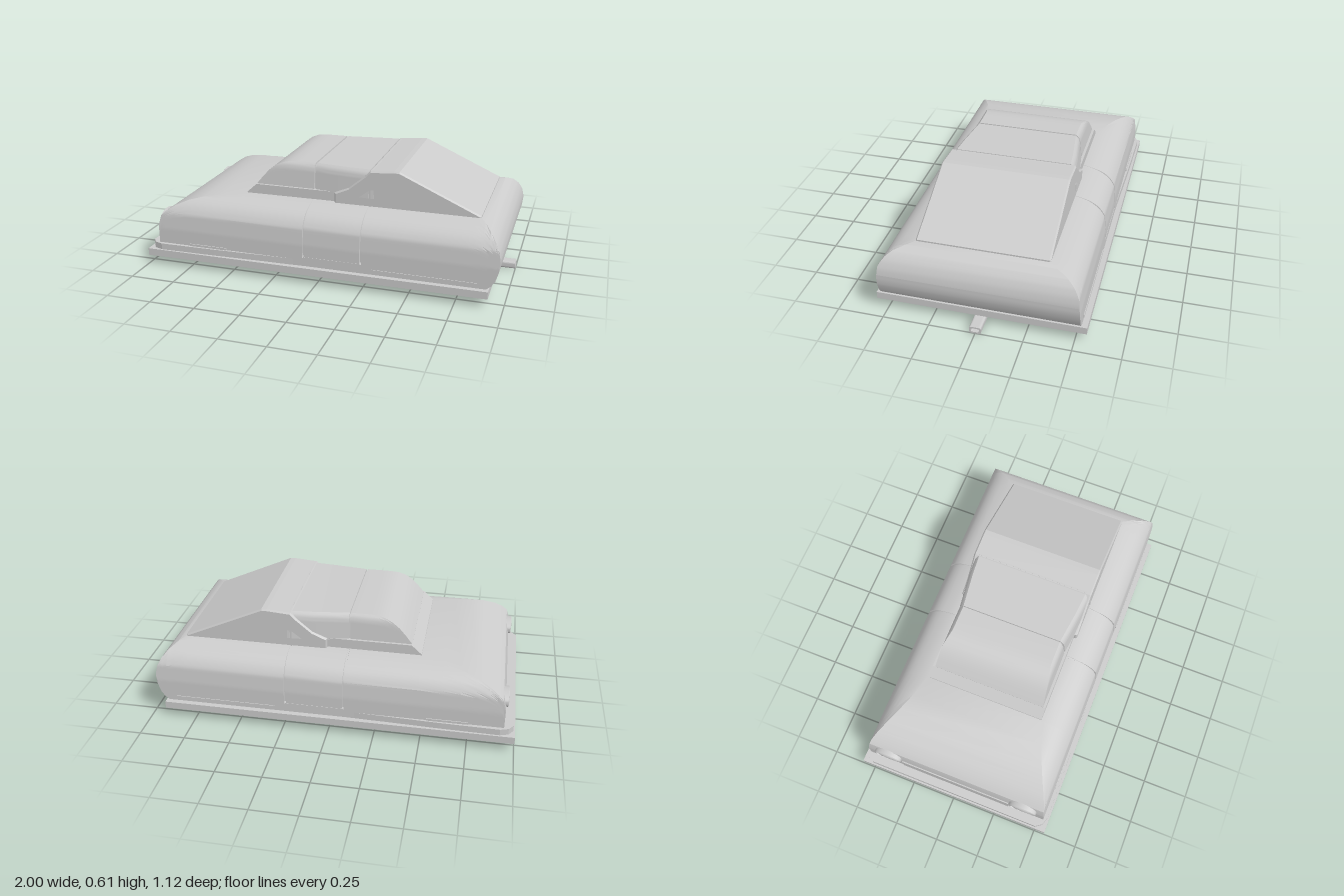
import * as THREE from 'three';
import { toCreasedNormals } from 'three/addons/utils/BufferGeometryUtils.js';

const material = new THREE.MeshStandardMaterial({ color: 0xcccccc, side: THREE.DoubleSide });

// Linear interpolation through [input, output] pairs
function curve(points, v) {
  if (v <= points[0][0]) return points[0][1];
  for (let i = 1; i < points.length; i++) {
    const [a, p] = points[i - 1], [b, q] = points[i];
    if (v <= b) return p + (q - p) * (v - a) / (b - a);
  }
  return points[points.length - 1][1];
}

// Skin symmetric cross-sections along x: low(x) to high(x), half width wide(x, y)
function loft(stations, low, high, wide, rows = 28) {
  const pos = [], index = [], n = rows * 2;
  for (const x of stations) {
    const lo = low(x), hi = high(x), side = [];
    for (let j = 0; j < rows; j++) {
      const y = lo + (hi - lo) * j / (rows - 1);
      side.push([y, wide(x, y)]);
    }
    for (const [y, z] of side) pos.push(x, y, z);
    for (const [y, z] of side.reverse()) pos.push(x, y, -z);
  }
  const last = (stations.length - 1) * n;
  for (let i = 0; i < last; i += n) {
    for (let j = 0; j < n; j++) {
      const k = (j + 1) % n;
      index.push(i + j, i + n + j, i + k, i + n + j, i + n + k, i + k);
    }
  }
  for (let j = 0; j < rows - 1; j++) { // end caps
    const a = j, b = j + 1, c = n - 2 - j, d = n - 1 - j;
    index.push(a, b, c, a, c, d, last + a, last + c, last + b, last + a, last + d, last + c);
  }
  const g = new THREE.BufferGeometry();
  g.setAttribute('position', new THREE.Float32BufferAttribute(pos, 3));
  g.setIndex(index);
  return toCreasedNormals(g, 0.4);
}

const outline = pts => new THREE.Shape(pts.map(p => new THREE.Vector2(...p)));
const rect = (x0, x1, h) => [[x0, -h], [x1, -h], [x1, h], [x0, h]];

// Side profile in x, y, extruded across z
function across(pts, half, bevel = 0) {
  const g = new THREE.ExtrudeGeometry(outline(pts), {
    depth: 2 * (half - bevel), bevelEnabled: bevel > 0,
    bevelSize: bevel, bevelOffset: -bevel, bevelThickness: bevel, bevelSegments: 1
  });
  return g.translate(0, 0, -half + bevel);
}

// Plan in x, z, extruded upward from y0 to y1
function upward(shape, y0, y1) {
  const g = new THREE.ExtrudeGeometry(shape, { depth: y1 - y0, bevelEnabled: false });
  return g.rotateX(-Math.PI / 2).translate(0, y0, 0);
}

export function createModel() {
  const car = new THREE.Group();
  const add = (name, geometry, x = 0, y = 0, z = 0) => {
    const mesh = new THREE.Mesh(geometry, material);
    mesh.name = name;
    mesh.position.set(x, y, z);
    car.add(mesh);
    return mesh;
  };
  const box = (name, sx, sy, sz, x, y, z) => add(name, new THREE.BoxGeometry(sx, sy, sz), x, y, z);

  // Chassis plate with a shallow rim underneath
  const rim = outline(rect(-1, 0.92, 0.56));
  rim.holes.push(new THREE.Path(rect(-0.975, 0.895, 0.535).map(p => new THREE.Vector2(...p))));
  add('chassisRim', upward(rim, 0.05, 0.09));
  box('chassisFloor', 1.9, 0.03, 1.1, -0.04, 0.074, 0);

  // Door seams are narrow grooves around body and cabin
  const seams = [-0.08, 0.24];
  const groove = x => seams.some(s => Math.abs(x - s) < 0.0045) ? 0.01 : 0;
  const seamStations = seams.flatMap(s => [s - 0.005, s - 0.004, s + 0.004, s + 0.005]);

  // Main body
  const bodyTop = [[-0.94, 0.23], [-0.925, 0.285], [-0.9, 0.31], [-0.85, 0.342], [-0.78, 0.37], [-0.7, 0.387],
    [-0.6, 0.397], [-0.48, 0.405], [0.8, 0.41], [0.83, 0.408], [0.87, 0.395], [0.91, 0.37],
    [0.94, 0.335], [0.96, 0.295], [0.97, 0.25]];
  const bodyLow = [[0.905, 0.09], [0.93, 0.11], [0.95, 0.14], [0.965, 0.19], [0.97, 0.23]];
  const bodyWide = [[0.09, 0.53], [0.21, 0.53], [0.3, 0.52], [0.33, 0.502], [0.355, 0.48], [0.375, 0.45],
    [0.39, 0.415], [0.4, 0.37], [0.41, 0.33]];
  const stations = [...bodyTop, ...bodyLow].map(p => p[0]).concat(seamStations);
  add('body', loft([...new Set(stations)].sort((a, b) => a - b),
    x => curve(bodyLow, x), x => curve(bodyTop, x),
    (x, y) => curve(bodyWide, y) - (y > 0.14 ? groove(x) : 0)));

  // Windscreen sill
  add('cabinSill', across([[-0.48, 0.39], [0.26, 0.39], [0.26, 0.46], [-0.42, 0.46], [-0.475, 0.41]], 0.335));

  // Greenhouse, leaning inward and flaring toward the rear deck
  const roof = [[-0.42, 0.462], [-0.385, 0.505], [-0.35, 0.543], [-0.31, 0.573], [-0.27, 0.59], [-0.23, 0.598],
    [-0.18, 0.6], [0, 0.6], [0.12, 0.6], [0.26, 0.601]];
  const lean = [[0.45, 0.322], [0.56, 0.31], [0.585, 0.302], [0.6, 0.285]];
  const flare = [[-0.08, 0], [0.12, 0.025], [0.24, 0.035]];
  add('greenhouse', loft(roof.map(p => p[0]).concat(seamStations).sort((a, b) => a - b),
    () => 0.45, x => curve(roof, x) - groove(x),
    (x, y) => curve(lean, y) + curve(flare, x) - groove(x), 16));

  // Rear cabin with diagonal front edge and long sloping back
  add('rearCabin', across([[0.04, 0.39], [0.84, 0.39], [0.84, 0.413], [0.4, 0.61], [0.37, 0.61], [0.24, 0.6],
    [0.21, 0.57], [0.12, 0.495], [0.04, 0.46]], 0.352, 0.008));

  // Wrap-around front bumper
  add('frontBumper', upward(outline([[-0.99, -0.5], [-0.965, -0.535], [-0.92, -0.55], [-0.6, -0.545], [-0.08, -0.528],
    [-0.08, 0.528], [-0.6, 0.545], [-0.92, 0.55], [-0.965, 0.535], [-0.99, 0.5]]), 0.085, 0.125));

  // Nose panel between the lamps
  box('nosePanel', 0.012, 0.09, 0.64, -0.94, 0.185, 0);

  for (const s of [1, -1]) {
    // Oval headlamps
    const profile = [[0, 0.02], [0.6, 0.016], [0.85, 0.008], [0.9, 0.016], [1, 0.012], [1, -0.04], [0, -0.04]];
    const lamp = new THREE.LatheGeometry(profile.map(p => new THREE.Vector2(...p)), 28);
    lamp.rotateZ(Math.PI / 2).scale(1, 0.043, 0.08);
    add('headlamp', toCreasedNormals(lamp, 0.6), -0.938, 0.245, s * 0.405);
    // Lower side trims and door bottom edge
    box('frontSideTrim', 0.22, 0.012, 0.02, -0.64, 0.131, s * 0.525);
    box('rearSideTrim', 0.56, 0.014, 0.012, 0.58, 0.112, s * 0.528);
    box('doorBottomEdge', 0.32, 0.005, 0.006, 0.08, 0.14, s * 0.529);
  }

  // Dished discs under the floor
  for (const [name, x, drop] of [['frontDisc', -0.47, 0.022], ['rearDisc', 0.38, 0.035]]) {
    const dish = [[0.235, -0.3], [0.235, 0.1], [0.22, 0.3], [0.14, 0.95], [0.125, 1], [0.11, 0.95],
      [0.1, 0.6], [0, 0.6]];
    const disc = new THREE.LatheGeometry(dish.map(([r, d]) => new THREE.Vector2(r, 0.05 - d * drop)), 40);
    add(name, toCreasedNormals(disc, 0.5), x);
  }

  // Hollow rear coupling bar with its mounting block
  const oval = (a, b, r, Path) => {
    const p = new Path();
    p.moveTo(-a + r, -b).lineTo(a - r, -b).quadraticCurveTo(a, -b, a, -b + r).lineTo(a, b - r)
      .quadraticCurveTo(a, b, a - r, b).lineTo(-a + r, b).quadraticCurveTo(-a, b, -a, b - r)
      .lineTo(-a, -b + r).quadraticCurveTo(-a, -b, -a + r, -b);
    return p;
  };
  const tube = oval(0.032, 0.02, 0.014, THREE.Shape);
  tube.holes.push(oval(0.022, 0.011, 0.008, THREE.Path));
  const bar = new THREE.ExtrudeGeometry(tube, { depth: 0.25, bevelEnabled: false, curveSegments: 6 });
  add('couplingBar', bar.rotateY(Math.PI / 2), 0.75, 0.02, 0);
  box('couplingMount', 0.08, 0.03, 0.064, 0.8, 0.05, 0);

  return car;
}
